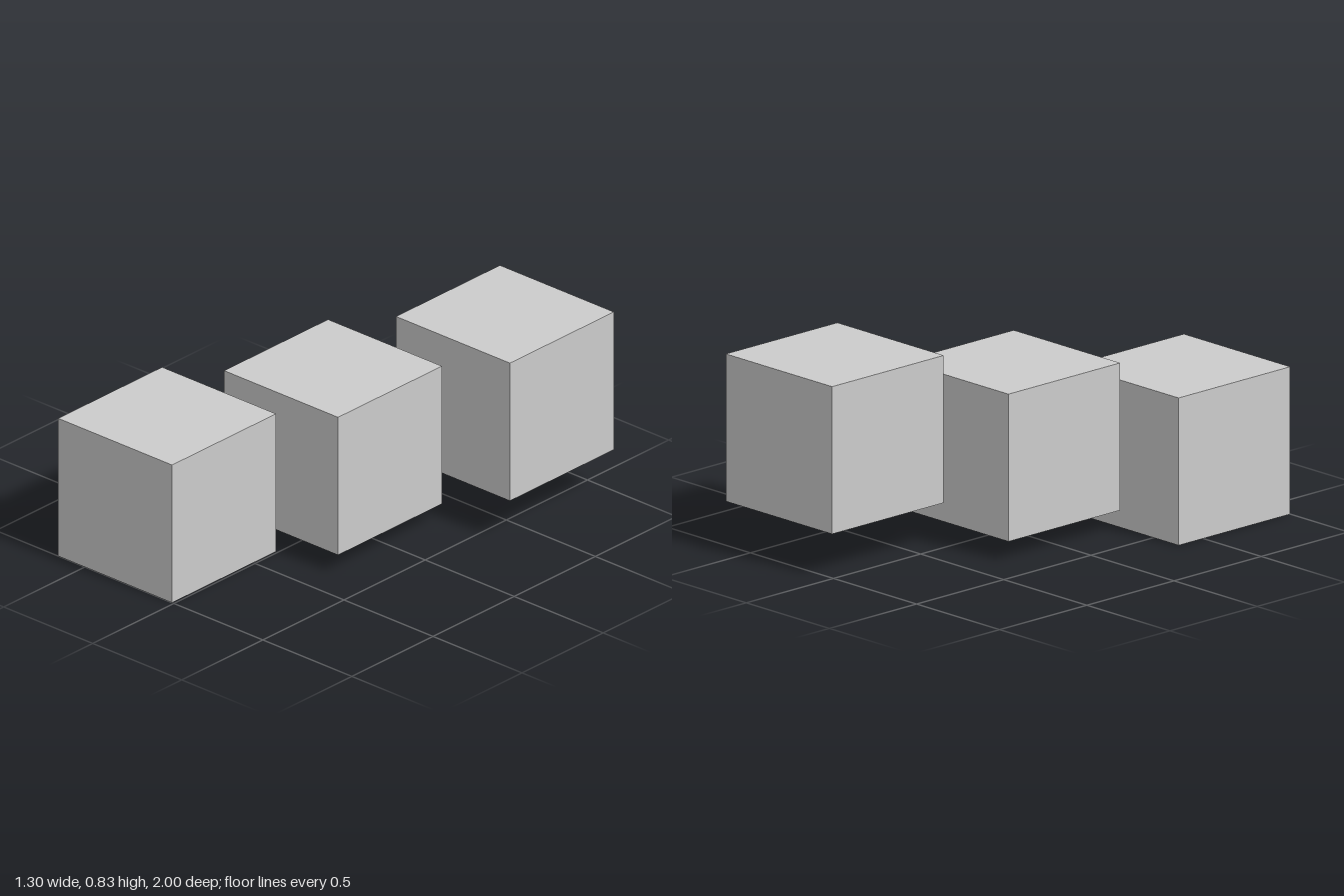
import * as THREE from 'three';

export function createModel() {
  const model = new THREE.Group();
  const size = 0.64;
  const material = new THREE.MeshStandardMaterial({ color: 0xcccccc, flatShading: true });
  const geometry = new THREE.BoxGeometry(size, size, size);

  // Three equal cubes rising towards the back: name and centre
  const cubes = [
    ['frontCube', -0.33, 0.32, 0.68],
    ['middleCube', -0.004, 0.405, 0.015],
    ['backCube', 0.328, 0.511, -0.68],
  ];
  for (const [name, x, y, z] of cubes) {
    const cube = new THREE.Mesh(geometry, material);
    cube.name = name;
    cube.position.set(x, y, z);
    model.add(cube);
  }
  return model;
}
